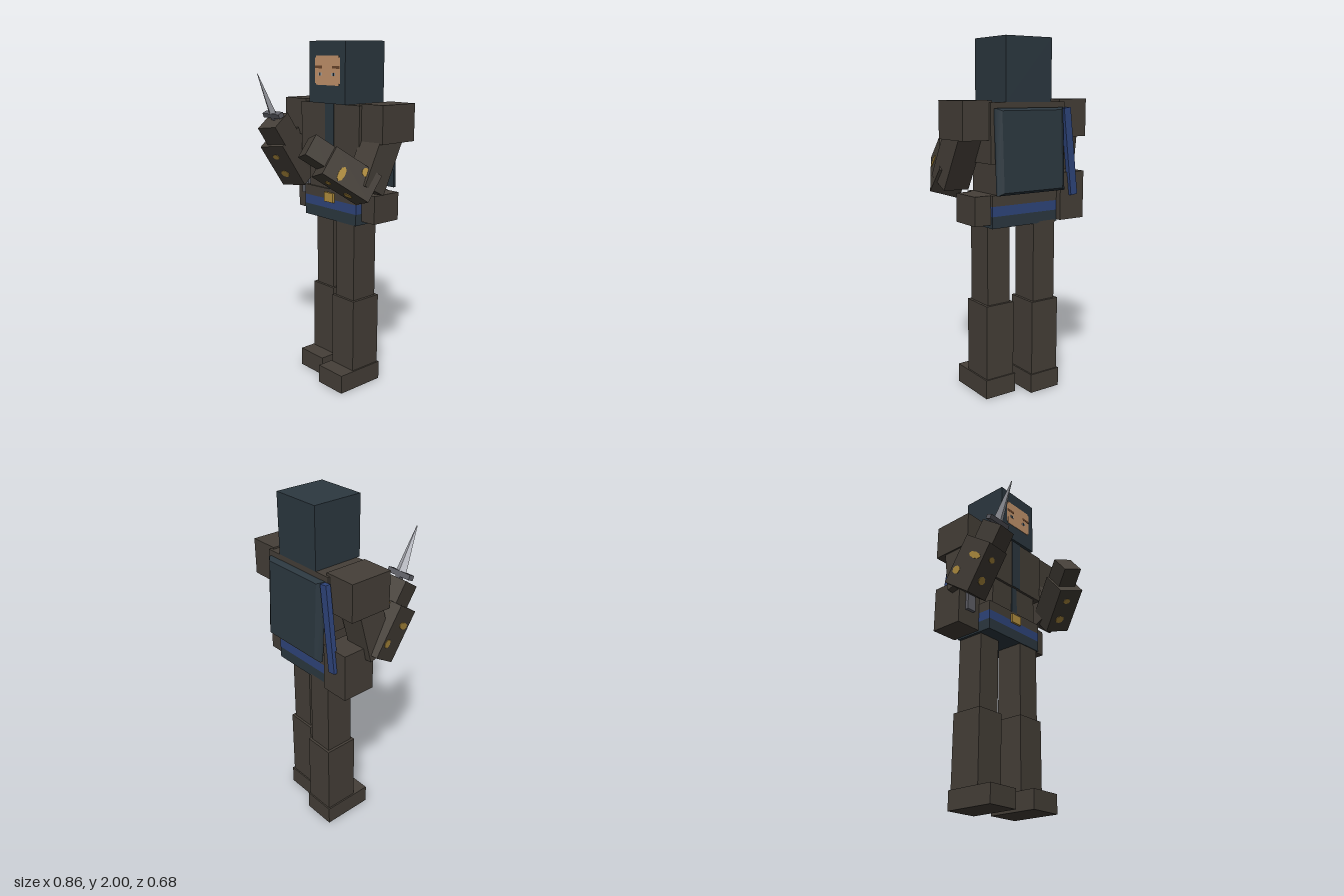
import * as THREE from 'three';

const mat = (name, color, extra = {}) => {
  const m = new THREE.MeshStandardMaterial({ color, ...extra });
  m.name = name;
  return m;
};

export function createModel() {
  const root = new THREE.Group();
  root.name = 'hoodedFigure';
  const brown = mat('dark brown cloth', 0x453f38);
  const navy = mat('dark slate cloth', 0x2c3840);
  const blue = mat('blue trim', 0x2f457c);
  const gold = mat('gold', 0xb4903f);
  const skin = mat('skin', 0xc4946c);
  const steel = mat('bright steel', 0xb0b2ba);
  const iron = mat('grey iron', 0x5f6067);
  const hair = mat('eyebrow brown', 0x6b452c);
  const eyeGrey = mat('eye grey', 0xa9b2b8);

  const add = (name, geo, material, parent = root) => {
    const m = new THREE.Mesh(geo, material);
    m.name = name;
    parent.add(m);
    return m;
  };
  // Box from minimum and maximum corners
  const block = (name, material, x0, x1, y0, y1, z0, z1, parent = root) => {
    const m = add(name, new THREE.BoxGeometry(x1 - x0, y1 - y0, z1 - z0), material, parent);
    m.position.set((x0 + x1) / 2, (y0 + y1) / 2, (z0 + z1) / 2);
    return m;
  };

  // Head with the face in the hood opening
  block('hood', navy, -0.13, 0.17, 1.66, 2, -0.285, 0.013);
  block('face', skin, -0.08, 0.13, 1.77, 1.91, 0.011, 0.015);
  block('faceCentre', skin, -0.07, 0.12, 1.76, 1.92, 0.011, 0.0155);
  for (const s of [-1, 1]) {
    const bx = 0.025 + s * 0.073, ex = 0.022 + s * 0.056;
    block('eyebrow', hair, bx - 0.03, bx + 0.03, 1.851, 1.866, 0.013, 0.017);
    block('eye', eyeGrey, ex - 0.013, ex + 0.013, 1.812, 1.828, 0.013, 0.017);
    block('pupil', navy, ex - 0.005, ex + 0.005, 1.812, 1.828, 0.013, 0.018);
  }

  // Torso
  block('chest', brown, -0.225, 0.265, 1.34, 1.66, -0.285, -0.005);
  block('abdomen', brown, -0.165, 0.21, 1.17, 1.34, -0.255, -0.02);
  block('chestStripe', navy, -0.01, 0.06, 1.34, 1.66, -0.008, -0.001);
  block('abdomenStripe', navy, 0, 0.045, 1.17, 1.34, -0.022, -0.015);
  block('waist', brown, -0.2, 0.24, 1.11, 1.17, -0.26, -0.01);
  block('belt', blue, -0.2, 0.24, 1.055, 1.11, -0.26, -0.01);
  block('beltHem', navy, -0.2, 0.24, 0.99, 1.055, -0.26, -0.01);
  block('buckle', gold, -0.015, 0.06, 1.095, 1.15, -0.012, 0.004);

  // Hip pouches
  block('leftPouch', brown, 0.23, 0.34, 1.01, 1.17, -0.245, -0.055);
  block('rightPouch', brown, -0.363, -0.195, 1, 1.27, -0.295, -0.095);
  block('pouchClasp', iron, -0.31, -0.25, 1.095, 1.28, -0.1, -0.075);

  // Back panel, its outer face drawn in for a bevelled rim
  const panelGeo = new THREE.BoxGeometry(0.445, 0.455, 0.036, 1, 1, 2);
  const p = panelGeo.attributes.position;
  for (let i = 0; i < p.count; i++) {
    if (p.getZ(i) < -0.01) p.setXY(i, p.getX(i) * 0.87, p.getY(i) * 0.94);
  }
  panelGeo.computeVertexNormals();
  const panel = add('backPanel', panelGeo, navy);
  panel.position.set(0.022, 1.403, -0.312);
  panel.rotation.x = 0.05;

  // Slanted scabbard beside the panel
  const scabbard = add('scabbard', new THREE.BoxGeometry(0.046, 0.49, 0.03), blue);
  scabbard.position.set(-0.25, 1.385, -0.3);
  scabbard.rotation.z = -0.12;

  // Legs, the right one set further back
  for (const [side, cx, dz] of [['left', 0.148, 0], ['right', -0.109, -0.075]]) {
    const leg = new THREE.Group();
    leg.name = side + 'Leg';
    leg.position.set(cx, 0, dz);
    root.add(leg);
    block('thigh', brown, -0.074, 0.074, 0.54, 1, -0.185, -0.015, leg);
    block('shin', brown, -0.09, 0.09, 0.11, 0.54, -0.2, 0, leg);
    block('boot', brown, -0.099, 0.099, 0, 0.11, -0.208, 0.098, leg);
  }

  // Shoulders
  block('leftShoulder', brown, 0.245, 0.424, 1.465, 1.67, -0.268, -0.022);
  block('rightShoulder', brown, -0.39, -0.2, 1.465, 1.675, -0.272, -0.016);

  // Frame whose y runs along d and whose z faces front
  const oriented = (name, centre, d, front) => {
    const y = new THREE.Vector3(...d).normalize();
    const x = y.clone().cross(new THREE.Vector3(...front)).normalize();
    const z = x.clone().cross(y);
    const g = new THREE.Group();
    g.name = name;
    g.position.set(...centre);
    g.quaternion.setFromRotationMatrix(new THREE.Matrix4().makeBasis(x, y, z));
    root.add(g);
    return g;
  };
  const limb = (name, a, b, w) => {
    const A = new THREE.Vector3(...a), B = new THREE.Vector3(...b);
    const d = B.clone().sub(A);
    const g = oriented(name, A.add(B).multiplyScalar(0.5).toArray(), d.toArray(), [0, 0, 1]);
    add(name + 'Sleeve', new THREE.BoxGeometry(w, d.length(), w), brown, g);
  };
  limb('leftUpperArm', [0.327, 1.52, -0.135], [0.335, 1.22, 0.02], 0.155);
  limb('rightUpperArm', [-0.3, 1.52, -0.14], [-0.325, 1.21, -0.075], 0.155);

  // Forearms with gold patches; each patch is [face, along, across, length, width]
  const forearm = (side, out, centre, d, front, w, len, hand, hw) => {
    const g = oriented(side + 'Forearm', centre, d, front);
    add('sleeve', new THREE.BoxGeometry(w, len, w), brown, g);
    const patches = [
      ['side', 0.055, 0.029, 0.04, 0.085], ['side', -0.06, -0.05, 0.05, 0.05],
      ['front', 0.07, -0.01, 0.035, 0.05], ['front', -0.06, -0.015, 0.05, 0.06],
      ['back', len / 2 - 0.012, 0.01, 0.018, 0.075],
    ];
    for (const [face, along, across, l, wd] of patches) {
      const geo = new THREE.CylinderGeometry(0.5, 0.5, 0.006, 8).rotateX(Math.PI / 2);
      const m = add('goldPatch', geo.scale(wd, l, 1), gold, g);
      if (face === 'side') {
        m.rotation.y = Math.PI / 2;
        m.position.set(out * w / 2, along, across);
      } else m.position.set(across, along, (face === 'front' ? 1 : -1) * w / 2);
    }
    const h = oriented(side + 'Hand', hand, d, front);
    add('glove', new THREE.BoxGeometry(hw, 0.13, hw), brown, h);
  };
  forearm('left', 1, [0.29, 1.295, 0.108], [-0.42, 0.555, 0.72], [0, -0.76, 0.65],
    0.165, 0.295, [0.2, 1.425, 0.237], 0.122);
  forearm('right', -1, [-0.33, 1.32, 0], [0, 0.83, 0.55], [0.2, -0.54, 0.815],
    0.18, 0.3, [-0.305, 1.495, 0.112], 0.14);

  // Dagger
  const dagger = oriented('dagger', [-0.307, 1.583, 0.143], [0, 0.91, 0.41], [0, -0.41, 0.91]);
  add('guard', new THREE.BoxGeometry(0.155, 0.028, 0.036), iron, dagger);
  add('grip', new THREE.BoxGeometry(0.03, 0.12, 0.03), iron, dagger).position.y = -0.06;
  const bladeGeo = new THREE.CylinderGeometry(0.003, 0.036, 0.25, 4).toNonIndexed();
  bladeGeo.scale(1, 1, 0.5).computeVertexNormals();
  add('blade', bladeGeo, steel, dagger).position.y = 0.135;

  return root;
}
